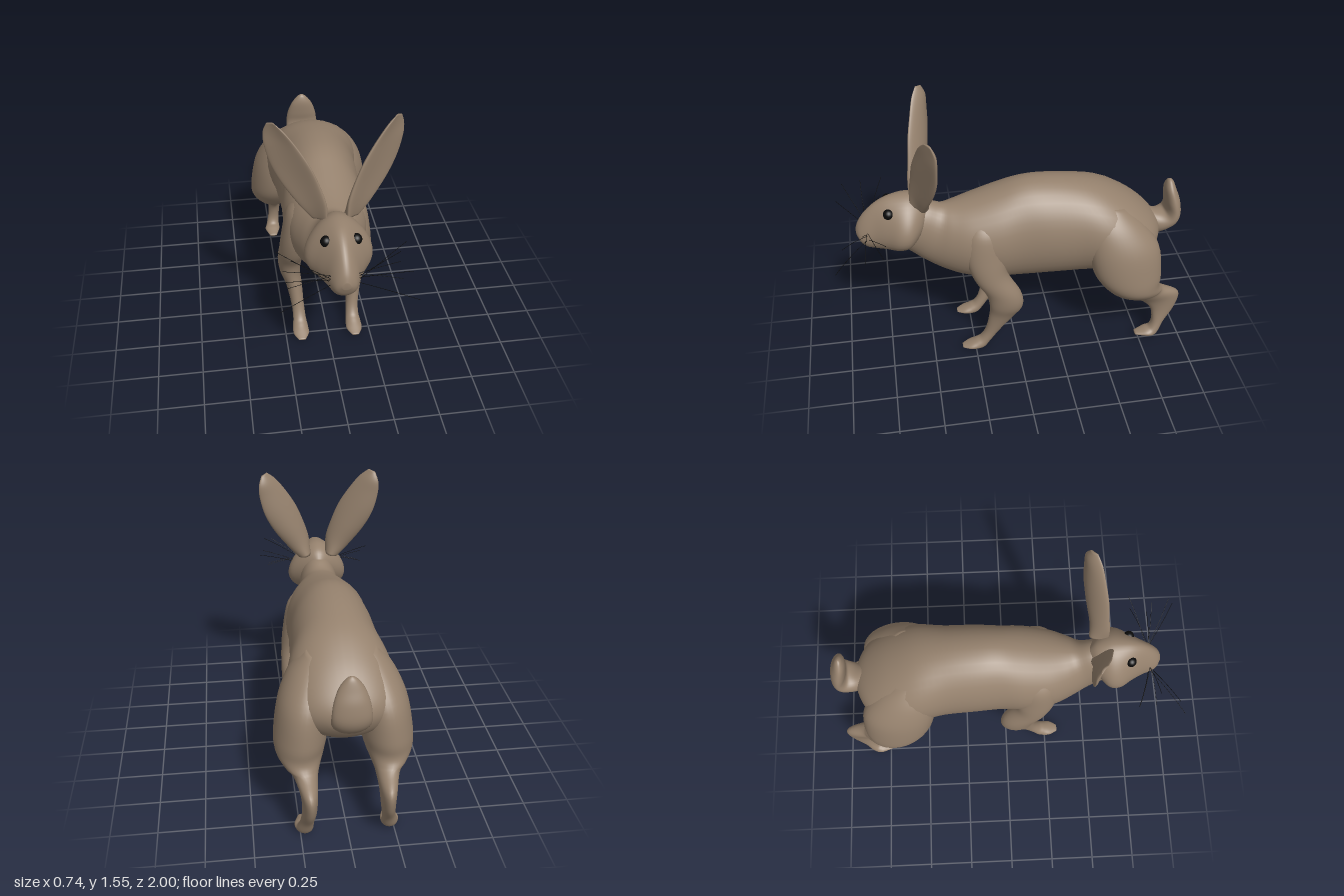
import * as THREE from 'three';

const fur = new THREE.MeshStandardMaterial({ color: 0x95816d });
fur.name = 'brown fur';
const black = new THREE.MeshStandardMaterial({ color: 0x0a0a0a });
black.name = 'black';

// Smooth (Catmull-Rom) blend through rows of numbers
function blend(rows, t) {
  const i = Math.min(Math.floor(t), rows.length - 2), f = t - i;
  const row = (k) => rows[Math.max(0, Math.min(rows.length - 1, k))];
  const [a, b, c, d] = [row(i - 1), row(i), row(i + 1), row(i + 2)];
  return b.map((_, k) => b[k] + 0.5 * f * (c[k] - a[k]
    + f * (2 * a[k] - 5 * b[k] + 4 * c[k] - d[k] + f * (3 * (b[k] - c[k]) + d[k] - a[k]))));
}

// Closed skin over cross-sections; ring(section, angle) gives one point
function loft(name, rows, ring, side = 1, steps = 5, around = 36) {
  const pos = [], index = [], n = (rows.length - 1) * steps;
  for (let i = 0; i <= n; i++) {
    const s = blend(rows, i / steps);
    for (let j = 0; j < around; j++) {
      const [x, y, z] = ring(s, (j / around) * Math.PI * 2);
      pos.push(x * side, y, z);
    }
  }
  for (let i = 0; i < n; i++) for (let j = 0; j < around; j++) {
    const a = i * around + j, b = i * around + (j + 1) % around;
    index.push(a, b, a + around, b, b + around, a + around);
  }
  // end caps
  for (const end of [0, n]) {
    const c = [0, 0, 0], centre = pos.length / 3;
    for (let j = 0; j < around; j++) for (let k = 0; k < 3; k++) c[k] += pos[(end * around + j) * 3 + k] / around;
    pos.push(...c);
    for (let j = 0; j < around; j++) {
      const a = end * around + j, b = end * around + (j + 1) % around;
      index.push(...(end ? [a, b, centre] : [b, a, centre]));
    }
  }
  // turn faces outward if the enclosed volume is negative
  const p = (k) => new THREE.Vector3().fromArray(pos, index[k] * 3);
  let volume = 0;
  for (let k = 0; k < index.length; k += 3) volume += p(k).dot(p(k + 1).cross(p(k + 2)));
  if (volume < 0) index.reverse();
  const g = new THREE.BufferGeometry();
  g.setAttribute('position', new THREE.Float32BufferAttribute(pos, 3));
  g.setIndex(index);
  g.computeVertexNormals();
  const mesh = new THREE.Mesh(g, fur);
  mesh.name = name;
  return mesh;
}

// Oval section: [x, half width, yA, zA, yB, zB], narrowed toward A by taper
const oval = (taper = 0) => ([x, rx, ya, za, yb, zb], t) => {
  const c = Math.cos(t), s = Math.sin(t);
  return [x + c * rx * (1 - taper * s), (ya + yb) / 2 + s * (ya - yb) / 2, (za + zb) / 2 + s * (za - zb) / 2];
};

// Ear section: [inner edge xyz, outer edge xyz, half thickness], cupped forward
const earRing = ([ax, ay, az, bx, by, bz, h], t) => {
  const c = Math.cos(t), s = Math.sin(t), d = s * h - s * s * h * 0.8;
  return [(ax + bx) / 2 + c * (bx - ax) / 2 + d * 0.4, (ay + by) / 2 + c * (by - ay) / 2, (az + bz) / 2 + c * (bz - az) / 2 + d * 0.9];
};

const bodyRows = [
  [0, .10, 1.0, .58, .74, .66], [0, .11, 1.0, .48, .69, .60], [0, .125, .972, .40, .61, .51],
  [0, .17, .975, .34, .545, .40], [0, .215, 1.0, .24, .50, .28], [0, .235, 1.045, .10, .47, .12],
  [0, .23, 1.085, -.03, .458, -.02], [0, .24, 1.093, -.15, .455, -.20], [0, .25, 1.075, -.32, .455, -.38],
  [0, .28, 1.03, -.50, .47, -.52], [0, .27, .945, -.66, .50, -.66], [0, .22, .85, -.78, .55, -.78],
  [0, .12, .77, -.85, .62, -.84], [0, .03, .71, -.87, .67, -.86],
];
const headRows = [
  [0, .05, .98, .46, .86, .50], [0, .12, 1.035, .50, .79, .55], [0, .165, 1.063, .56, .745, .60],
  [0, .165, 1.068, .62, .735, .66], [0, .125, 1.055, .70, .733, .72], [0, .09, 1.02, .77, .735, .78],
  [0, .07, .965, .83, .748, .83], [0, .05, .91, .868, .78, .862], [0, .02, .865, .885, .825, .882],
];
const tailRows = [
  [0, .06, .82, -.80, .64, -.80], [0, .085, .79, -.86, .645, -.87], [0, .10, .79, -.90, .70, -.96],
  [0, .10, .82, -.908, .77, -.998], [0, .09, .87, -.90, .86, -.99], [0, .065, .94, -.895, .93, -.965],
  [0, .03, .985, -.905, .98, -.945], [0, .006, 1.0, -.92, .998, -.93],
];
const frontLegRows = [
  [.13, .03, .93, .22, .93, .14], [.15, .07, .85, .28, .85, .08], [.17, .08, .70, .29, .70, .06],
  [.185, .08, .56, .25, .58, .055], [.2, .07, .45, .185, .44, -.02], [.2, .06, .36, .165, .34, -.03],
  [.18, .047, .27, .165, .25, .02], [.165, .037, .15, .185, .13, .105], [.16, .038, .085, .215, .05, .16],
  [.16, .045, .06, .25, .005, .20], [.16, .045, .04, .29, .003, .27], [.16, .02, .022, .33, .012, .33],
];
const hindLegRows = [
  [.13, .05, .96, -.50, .93, -.62], [.17, .10, .86, -.42, .83, -.73], [.205, .13, .72, -.41, .70, -.82],
  [.225, .14, .56, -.44, .53, -.845], [.235, .13, .46, -.50, .44, -.84], [.23, .10, .38, -.58, .395, -.86],
  [.215, .065, .315, -.69, .37, -.89], [.205, .045, .26, -.77, .31, -.985], [.205, .038, .20, -.82, .20, -.97],
  [.215, .036, .12, -.835, .10, -.91], [.225, .043, .07, -.82, .02, -.87], [.23, .048, .055, -.785, .012, -.82],
  [.23, .022, .035, -.73, .022, -.73],
];
const earRows = [
  [.05, 1.03, .57, .12, 1.01, .50, .035], [.055, 1.12, .57, .18, 1.08, .49, .03],
  [.085, 1.22, .56, .265, 1.20, .46, .028], [.13, 1.33, .55, .32, 1.31, .44, .025],
  [.19, 1.43, .53, .348, 1.42, .435, .02], [.25, 1.51, .51, .35, 1.49, .435, .015],
  [.30, 1.555, .485, .333, 1.545, .455, .006],
];
// Whisker tips
const whiskerTips = [[.34, .82, 1.0], [.31, .96, .95], [.29, .83, .84], [.33, .97, .72], [.27, 1.0, .84], [.30, .86, .74]];

export function createModel() {
  const model = new THREE.Group();
  model.name = 'hare';
  model.add(loft('body', bodyRows, oval()), loft('head', headRows, oval(0.3)), loft('tail', tailRows, oval()));

  for (const side of [1, -1]) {
    const label = side > 0 ? 'left' : 'right';
    model.add(
      loft(label + 'FrontLeg', frontLegRows, oval(), side),
      loft(label + 'HindLeg', hindLegRows, oval(), side),
      loft(label + 'Ear', earRows, earRing, side),
    );

    const eye = new THREE.Mesh(new THREE.SphereGeometry(0.03, 20, 14), black);
    eye.name = label + 'Eye';
    eye.position.set(side * 0.076, 0.99, 0.695);
    model.add(eye);

    const whiskers = new THREE.Group();
    whiskers.name = label + 'Whiskers';
    whiskerTips.forEach(([x, y, z], i) => {
      const root = new THREE.Vector3(side * 0.06, 0.82 + (i % 3) * 0.025, 0.82);
      const tip = new THREE.Vector3(side * x, y, z);
      const mid = root.clone().lerp(tip, 0.5).add(new THREE.Vector3(0, 0.012, 0.01));
      const hair = new THREE.Mesh(new THREE.TubeGeometry(new THREE.QuadraticBezierCurve3(root, mid, tip), 10, 0.0014, 5), black);
      hair.name = 'whisker';
      whiskers.add(hair);
    });
    model.add(whiskers);
  }
  return model;
}
